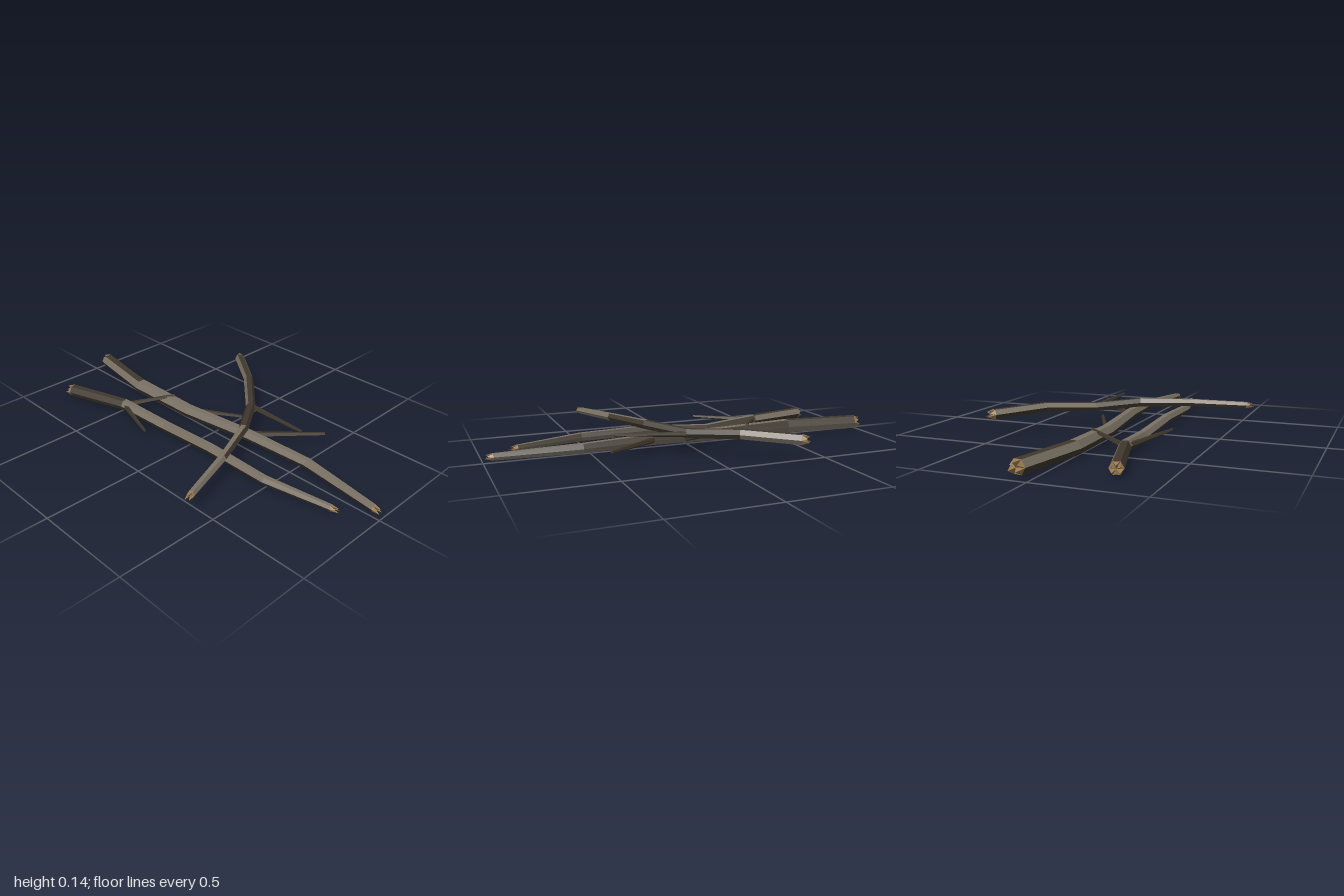
import * as THREE from 'three';

const material = (name, color) => {
  const m = new THREE.MeshStandardMaterial({ color });
  m.name = name;
  return m;
};

// Sticks: points are [x, y, z, radius]; each mask lists the bark tone of the six
// faces of a segment, starting at the top (d = dark, g = grey).
const STICKS = [
  {
    name: 'thickStick',
    points: [[-0.96, 0.048, -0.059, 0.037], [-0.58, 0.045, 0.0, 0.038], [-0.2, 0.04, -0.008, 0.034],
      [0.2, 0.052, -0.042, 0.03], [0.55, 0.047, -0.064, 0.026], [0.955, 0.035, -0.018, 0.018]],
    masks: ['dgdggd', 'ggdggd', 'ggdggd', 'ggdggd', 'ggdggd'],
    twigs: [
      [[-0.2, 0.045, -0.01, 0.014], [0.06, 0.06, -0.14, 0.008]],
      [[0.19, 0.05, -0.05, 0.016], [0.475, 0.075, -0.29, 0.008]],
    ],
  },
  {
    name: 'mediumStick',
    points: [[-0.81, 0.04, 0.294, 0.032], [-0.48, 0.046, 0.197, 0.03], [-0.18, 0.026, 0.167, 0.028],
      [0.16, 0.05, 0.174, 0.026], [0.5, 0.044, 0.174, 0.023], [0.825, 0.034, 0.111, 0.016]],
    masks: ['dddddg', 'ggdggd', 'ggdggd', 'ggdggd', 'ggdggd'],
    twigs: [
      [[-0.48, 0.045, 0.2, 0.014], [-0.17, 0.069, 0.315, 0.007]],
      [[-0.48, 0.045, 0.2, 0.014], [-0.33, 0.074, -0.025, 0.008]],
    ],
  },
  {
    name: 'crossingStick',
    points: [[-0.345, 0.112, -0.542, 0.027], [-0.12, 0.122, -0.375, 0.026], [0.07, 0.103, -0.19, 0.025],
      [0.21, 0.117, 0.01, 0.024], [0.315, 0.115, 0.26, 0.021], [0.405, 0.104, 0.535, 0.018]],
    masks: ['dgdggg', 'dgdgdd', 'dddgdd', 'ggdgdd', 'ggdggg'],
    twigs: [[[0.06, 0.1, -0.2, 0.014], [0.425, 0.12, -0.165, 0.007]]],
  },
];

// Frame and ring of corners round each path point; corner k starts face k.
function makeRings(points, sides) {
  const centers = points.map(p => new THREE.Vector3(p[0], p[1], p[2]));
  return centers.map((center, i) => {
    const before = centers[Math.max(i - 1, 0)];
    const after = centers[Math.min(i + 1, centers.length - 1)];
    const tangent = after.clone().sub(before).normalize();
    const side = tangent.clone().cross(new THREE.Vector3(0, 1, 0)).normalize();
    const up = side.clone().cross(tangent);
    return (k, scale = 1, along = 0) => {
      const a = ((k - 0.5) / sides) * Math.PI * 2;
      const r = points[i][3] * scale;
      return center.clone().addScaledVector(up, Math.cos(a) * r)
        .addScaledVector(side, Math.sin(a) * r).addScaledVector(tangent, along);
    };
  });
}

const triangle = (out, a, b, c) => out.push(...a.toArray(), ...b.toArray(), ...c.toArray());
const quad = (out, a, b, c, d) => { triangle(out, a, b, c); triangle(out, a, c, d); };

function addMesh(group, name, positions, mat) {
  const geometry = new THREE.BufferGeometry();
  geometry.setAttribute('position', new THREE.Float32BufferAttribute(positions, 3));
  geometry.computeVertexNormals();
  const mesh = new THREE.Mesh(geometry, mat);
  mesh.name = name;
  group.add(mesh);
}

// Splintered end: a wood shard on each side, leaning in over a shallow core
const SHARDS = [0.036, 0.024, 0.042, 0.02, 0.038, 0.028];

function addBrokenEnd(wood, ring, dir) {
  const face = (a, b, c) => (dir > 0 ? triangle(wood, a, b, c) : triangle(wood, a, c, b));
  const core = ring(0, 0, 0.012 * dir);
  SHARDS.forEach((length, k) => {
    const a = ring(k), b = ring(k + 1);
    const tip = ring(k + 0.5, 0.62, length * dir);
    face(a, b, tip);
    face(b, core, tip);
    face(core, a, tip);
  });
}

function makeStick({ name, points, masks, twigs }, mats) {
  const group = new THREE.Group();
  group.name = name;
  const dark = [], grey = [], wood = [];

  // Bark
  const rings = makeRings(points, 6);
  masks.forEach((mask, i) => {
    for (let k = 0; k < 6; k++) {
      quad(mask[k] === 'g' ? grey : dark,
        rings[i](k), rings[i](k + 1), rings[i + 1](k + 1), rings[i + 1](k));
    }
  });
  addBrokenEnd(wood, rings[0], -1);
  addBrokenEnd(wood, rings[rings.length - 1], 1);
  addMesh(group, 'darkBark', dark, mats.dark);
  addMesh(group, 'greyBark', grey, mats.grey);
  addMesh(group, 'splinteredEnds', wood, mats.wood);

  // Side twigs
  for (const twig of twigs) {
    const [start, end] = makeRings(twig, 5);
    const faces = [];
    for (let k = 0; k < 5; k++) {
      quad(faces, start(k), start(k + 1), end(k + 1), end(k));
      triangle(faces, end(0, 0), end(k), end(k + 1));
      triangle(faces, start(0, 0), start(k + 1), start(k));
    }
    addMesh(group, 'twig', faces, mats.dark);
  }
  return group;
}

export function createModel() {
  const mats = {
    dark: material('dark bark', 0x40382d),
    grey: material('grey bark', 0x7a7164),
    wood: material('bare wood', 0x967a50),
  };
  const model = new THREE.Group();
  model.name = 'stickPile';
  for (const stick of STICKS) model.add(makeStick(stick, mats));
  return model;
}
